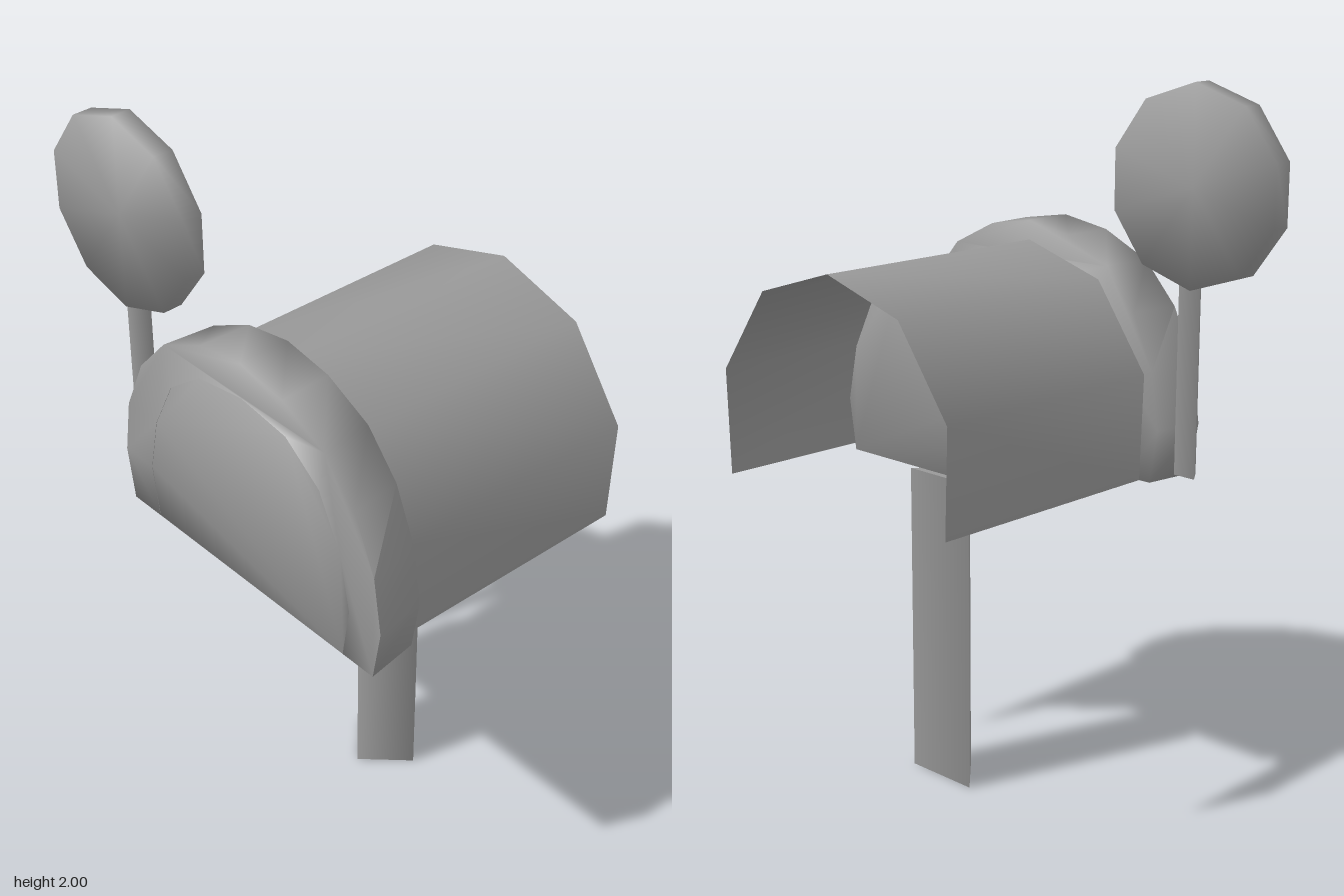
import * as THREE from 'three';
import { toCreasedNormals } from 'three/addons/utils/BufferGeometryUtils.js';

const CX = 0.155; // centre line of box and post

// Half arches as [offset from centre line, height], bottom to crown
const RIM = [[0.48, 0.91], [0.505, 1.06], [0.48, 1.22], [0.41, 1.375], [0.305, 1.49], [0.155, 1.56], [0, 1.585]];
const PANEL = [[0.37, 0.91], [0.393, 1.06], [0.36, 1.22], [0.285, 1.37], [0.165, 1.46], [0, 1.485]];
const SHELL = [[0.428, 0.91], [0.438, 1.21], [0.265, 1.45], [0, 1.53]];

// Mirror a half arch into a full one, running from -x over the crown to +x
function fullArch(half) {
  const left = half.map(([x, y]) => new THREE.Vector2(-x, y));
  const right = half.slice(0, -1).reverse().map(([x, y]) => new THREE.Vector2(x, y));
  return [...left, ...right];
}

function extrudeArch(half, z0, z1, holeHalf) {
  const shape = new THREE.Shape(fullArch(half));
  if (holeHalf) shape.holes.push(new THREE.Path(fullArch(holeHalf)));
  const geo = new THREE.ExtrudeGeometry(shape, { depth: z1 - z0, bevelEnabled: false });
  return geo.translate(0, 0, z0);
}

// Three-sided post with its ridge to the front
function triPost(width, depth, height) {
  const geo = new THREE.CylinderGeometry(1, 1, height, 3);
  return geo.scale(width / Math.sqrt(3), 1, depth / 1.5).translate(0, height / 2, -depth / 6);
}

export function createModel() {
  const group = new THREE.Group();
  const grey = new THREE.MeshStandardMaterial({ color: 0x999999 });
  grey.name = 'grey';
  const greyThin = grey;
  greyThin.side = THREE.DoubleSide;

  const add = (name, geo, x, y, z) => {
    const mesh = new THREE.Mesh(geo, grey);
    mesh.name = name;
    mesh.position.set(x, y, z);
    group.add(mesh);
    return mesh;
  };

  // Post
  add('post', triPost(0.23, 0.12, 0.91), CX, 0, 0);

  // Arched shell, open at the back and below
  const arch = fullArch(SHELL);
  const shell = new THREE.PlaneGeometry(1, 1, arch.length - 1, 1);
  const p = shell.attributes.position;
  for (let i = 0; i < p.count; i++) {
    const pt = arch[i % arch.length];
    const front = i >= arch.length;
    p.setXYZ(i, pt.x * (front ? 0.985 : 1), pt.y, front ? 0.3 : -0.45);
  }
  shell.computeVertexNormals();
  add('shell', shell, CX, 0, 0);

  // Front rim, slightly narrower at its back
  const rim = extrudeArch(RIM, 0.3, 0.45, PANEL);
  const r = rim.attributes.position;
  for (let i = 0; i < r.count; i++) {
    const outer = Math.abs(r.getX(i)) > 0.395 || r.getY(i) > 1.486;
    if (r.getZ(i) < 0.4 && outer) r.setX(i, r.getX(i) * 0.955);
  }
  add('frontRim', toCreasedNormals(rim, 1.7), CX, 0, 0);

  // Door panel with its block reaching back inside the shell
  add('doorPanel', toCreasedNormals(extrudeArch(PANEL, -0.04, 0.449), 1.7), CX, 0, 0);

  // Signal flag: mast and ten-sided disc
  add('flagMast', triPost(0.07, 0.05, 0.53), -0.4, 0.94, 0.355);
  const disc = new THREE.CylinderGeometry(0.272, 0.272, 0.058, 10).rotateX(Math.PI / 2);
  add('flagDisc', toCreasedNormals(disc, 1.7), -0.405, 1.728, 0.353).rotation.y = 0.04;

  return group;
}
